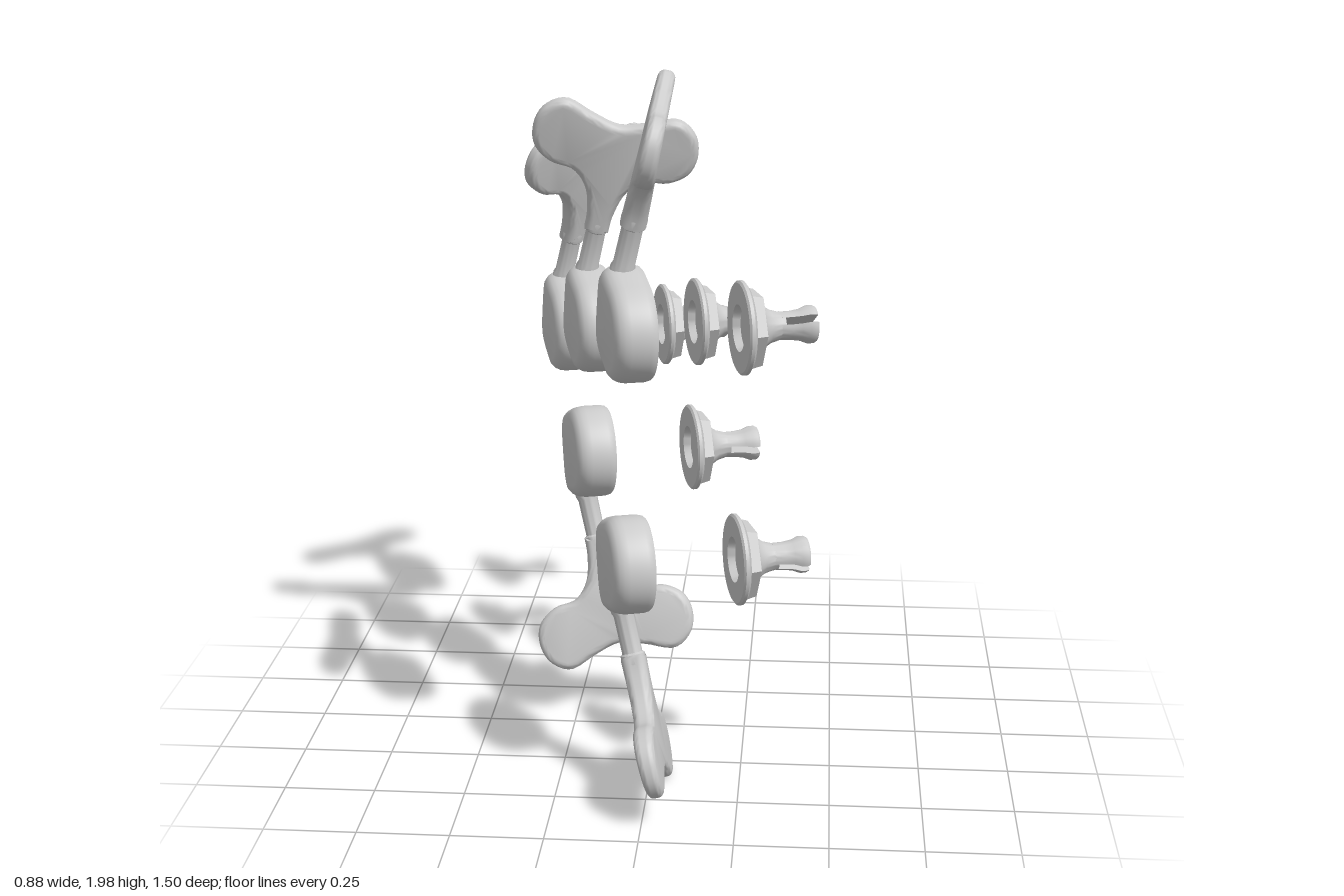
import * as THREE from 'three';
import { toCreasedNormals } from 'three/addons/utils/BufferGeometryUtils.js';

const V3 = THREE.Vector3;
const grey = new THREE.MeshStandardMaterial({ color: 0xcccccc });

function part(geometry, name, parent, crease = 0.6) {
  const mesh = new THREE.Mesh(toCreasedNormals(geometry, crease), grey);
  mesh.name = name;
  parent.add(mesh);
  return mesh;
}

// Skin over closed rings that run along +x
function loft(rings) {
  const n = rings[0].length;
  const positions = rings.flat().flatMap(p => [p.x, p.y, p.z]);
  const index = [];
  for (let i = 0; i < rings.length - 1; i++) {
    for (let j = 0; j < n; j++) {
      const a = i * n + j, b = i * n + (j + 1) % n;
      index.push(a, b, b + n, a, b + n, a + n);
    }
  }
  const g = new THREE.BufferGeometry();
  g.setAttribute('position', new THREE.Float32BufferAttribute(positions, 3));
  g.setIndex(index);
  return g;
}

// Lathe around the x axis from [x, radius] pairs
function latheX(profile) {
  const g = new THREE.LatheGeometry(profile.map(([x, r]) => new THREE.Vector2(r, x)), 40);
  return g.rotateZ(-Math.PI / 2);
}

// Gear cup: round on one side, squared on the side that holds the shaft
function housingGeometry(side) {
  const N = 64, R = 0.132, W = 0.173, P = 4.5;
  const ring = (x, scale, hole) => Array.from({ length: N }, (_, i) => {
    const a = i / N * Math.PI * 2, c = Math.cos(a), s = Math.sin(a);
    const u = -side * s;
    const outer = u < 0 ? R : Math.pow(Math.pow(u / W, P) + Math.pow(Math.abs(c) / R, P), -1 / P);
    const r = hole !== undefined ? hole : outer * scale;
    return new V3(x, r * c, r * s);
  });
  return loft([
    ring(-0.056, 0, 0), ring(-0.056, 0.74), ring(-0.052, 0.85), ring(-0.042, 0.93), ring(-0.029, 0.98),
    ring(-0.014, 1), ring(0.036, 1), ring(0.05, 0.975), ring(0.056, 0.93),
    ring(0.056, 0, 0.095), ring(-0.03, 0, 0.095), ring(-0.03, 0, 0)
  ]);
}

// Flat two-lobed key with a narrow neck
function keyGeometry() {
  const half = [[0.034, 0], [0.037, 0.055], [0.056, 0.125], [0.1, 0.172], [0.165, 0.183],
    [0.216, 0.22], [0.231, 0.277], [0.212, 0.336], [0.155, 0.37], [0.075, 0.342]];
  const right = half.map(([x, y]) => new THREE.Vector2(x, y));
  const left = half.map(([x, y]) => new THREE.Vector2(-x, y)).reverse();
  const shape = new THREE.Shape();
  shape.moveTo(0.034, 0);
  shape.splineThru([...right.slice(1), new THREE.Vector2(0, 0.322), ...left]);
  shape.closePath();
  const g = new THREE.ExtrudeGeometry(shape, {
    depth: 0.018, curveSegments: 4,
    bevelThickness: 0.022, bevelSize: 0.02, bevelOffset: -0.02, bevelSegments: 5
  });
  g.translate(0, 0, -0.009);
  // Thinner towards the lobes
  const p = g.attributes.position;
  for (let i = 0; i < p.count; i++) p.setZ(i, p.getZ(i) * (1.12 - 1.1 * p.getY(i)));
  return g;
}

// One prong of the split post, a half disc swept along the flared end
function prongGeometry(sign) {
  const gap = 0.01, N = 14, mid = sign * 0.025;
  const ring = (x, r, k = 1) => Array.from({ length: N + 1 }, (_, i) => {
    const limit = Math.acos(gap / r), a = -limit + 2 * limit * i / N;
    const y = -sign * r * Math.sin(a), z = sign * r * Math.cos(a);
    return new V3(x, y * k, mid + (z - mid) * k);
  });
  return loft([ring(0.1, 0.037, 0), ring(0.1, 0.037), ring(0.13, 0.038), ring(0.155, 0.042),
    ring(0.175, 0.05), ring(0.19, 0.05), ring(0.197, 0.046), ring(0.197, 0.046, 0)]);
}

function addFitting(parent, slotAngle) {
  const fitting = new THREE.Group();
  fitting.name = 'postFitting';
  fitting.position.set(0.297, 0, 0.025);
  parent.add(fitting);

  // Washer with a recess in its back
  part(latheX([[0.012, 0], [0.012, 0.055], [-0.008, 0.062], [-0.008, 0.118], [-0.003, 0.124],
    [0.006, 0.124], [0.014, 0.112], [0.014, 0]]), 'washer', fitting);

  const nut = new THREE.CylinderGeometry(0.104, 0.112, 0.032, 6).rotateZ(-Math.PI / 2);
  part(nut, 'hexNut', fitting, 0.3).position.x = 0.028;

  const post = new THREE.Group();
  post.name = 'post';
  post.rotation.x = slotAngle;
  fitting.add(post);
  part(latheX([[0.03, 0], [0.03, 0.068], [0.05, 0.066], [0.058, 0.055], [0.075, 0.044],
    [0.1, 0.037], [0.112, 0.037], [0.112, 0]]), 'postBase', post);
  for (const sign of [1, -1]) part(prongGeometry(sign), 'postProng', post);
}

// side is 1 when the key points up and -1 when it points down
function tuner({ at, side, twist, slot }) {
  const g = new THREE.Group();
  g.name = side > 0 ? 'upperTuner' : 'lowerTuner';
  g.position.set(...at);
  g.rotation.y = 0.295;

  const body = new THREE.Group();
  body.name = 'machineHead';
  body.rotation.x = side > 0 ? 0.3 : Math.PI - 0.32;
  g.add(body);
  part(housingGeometry(side), 'housing', body, 0.7);

  const stem = new THREE.Group();
  stem.name = 'keyAndShaft';
  stem.position.set(0, 0.1, -side * 0.112);
  stem.rotation.set(0, THREE.MathUtils.degToRad(twist), -0.15, 'ZYX');
  body.add(stem);
  const shaft = [[0.034, -0.02], [0.034, 0.028], [0.029, 0.04], [0.028, 0.145], [0.034, 0.15],
    [0.035, 0.175], [0.026, 0.2], [0, 0.2]].map(p => new THREE.Vector2(...p));
  part(new THREE.LatheGeometry(shaft, 28), 'shaft', stem);
  part(keyGeometry(), 'key', stem, 0.7).position.y = 0.15;

  addFitting(g, slot);
  return g;
}

export function createModel() {
  const model = new THREE.Group();
  model.name = 'tuners';
  const tuners = [
    { at: [-0.045, 1.33, 0.495], side: 1, twist: 73, slot: 1.0 },
    { at: [-0.195, 1.21, -0.045], side: 1, twist: -12, slot: 1.57 },
    { at: [-0.325, 1.07, -0.568], side: 1, twist: 27, slot: 0.1 },
    { at: [-0.055, 0.675, 0.447], side: -1, twist: -73, slot: -1.0 },
    { at: [-0.21, 0.82, -0.1], side: -1, twist: 16, slot: -1.4 }
  ];
  for (const t of tuners) model.add(tuner(t));
  return model;
}
